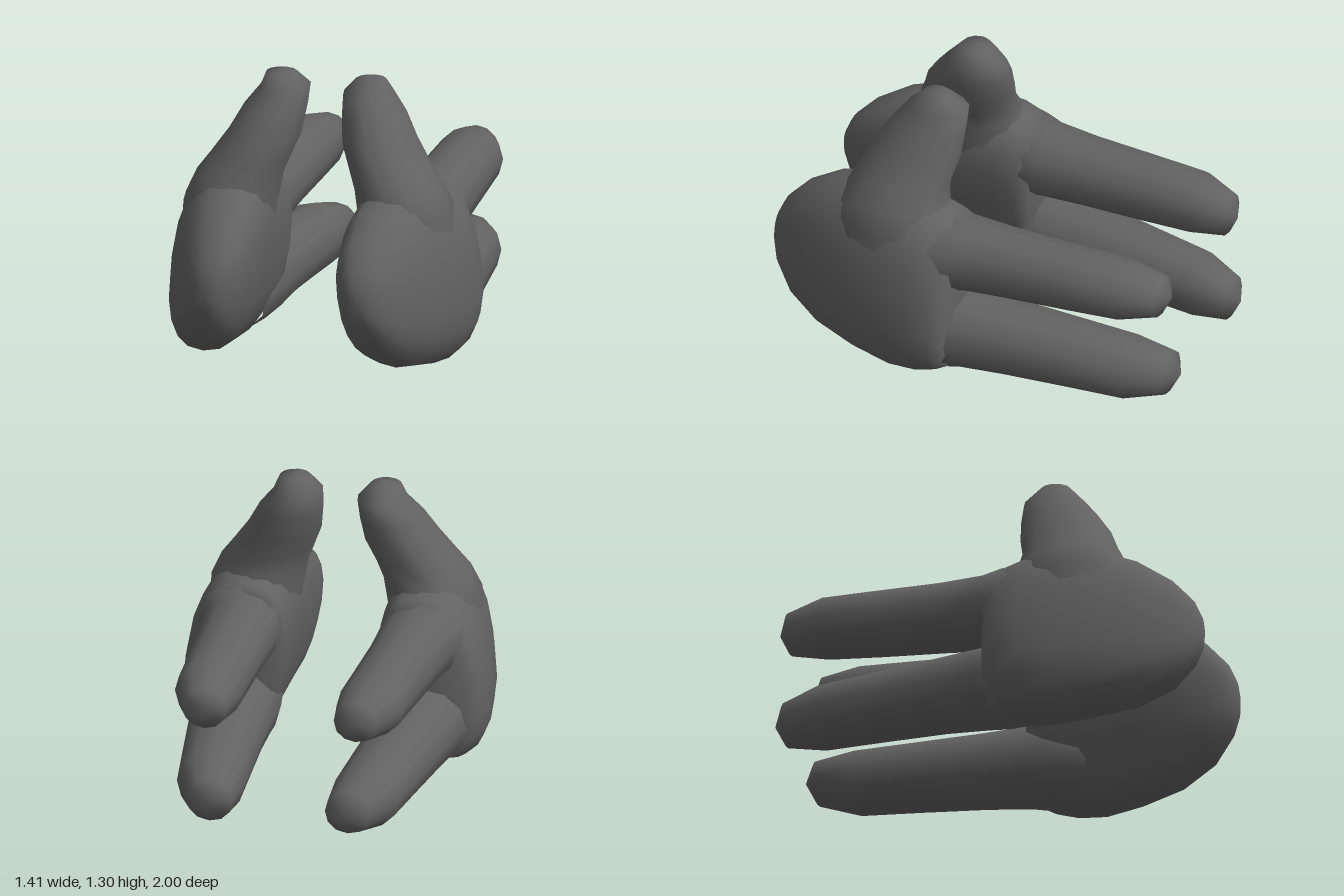
import * as THREE from 'three';
import { mergeVertices } from 'three/addons/utils/BufferGeometryUtils.js';

// Rounded section: exponent above 2 makes the outline squarer
const bend = (c, n) => Math.sign(c) * Math.pow(Math.abs(c), 2 / n);

// Smooth skin through sections [t, x, xRadius, v, vRadius].
// axis 'z': v is y, sections run backwards; axis 'y': v is z, sections run upwards.
// lean shifts x with v, side (+1 / -1) mirrors.
function loft(sections, { axis = 'z', sides = 12, n = 2, lean = 0, side = 1 }) {
  const positions = [], index = [];
  for (const [t, cx, rx, cv, rv] of sections) {
    for (let j = 0; j < sides; j++) {
      const a = (j / sides) * Math.PI * 2;
      const dv = bend(Math.sin(a), n) * rv;
      const x = side * (cx + bend(Math.cos(a), n) * rx + lean * dv);
      const v = cv + dv;
      if (axis === 'z') positions.push(x, v, t);
      else positions.push(x, t, v);
    }
  }
  for (let i = 0; i < sections.length - 1; i++) {
    for (let j = 0; j < sides; j++) {
      const k = (j + 1) % sides;
      const a = i * sides + j, b = i * sides + k, c = a + sides, d = b + sides;
      if (side > 0) index.push(a, c, b, b, c, d);
      else index.push(a, b, c, b, d, c);
    }
  }
  const g = new THREE.BufferGeometry();
  g.setAttribute('position', new THREE.Float32BufferAttribute(positions, 3));
  g.setIndex(index);
  const merged = mergeVertices(g, 1e-4);
  merged.computeVertexNormals();
  return merged;
}

const PALM = [
  [1.0, 0.36, 0, 0.43, 0],
  [0.985, 0.362, 0.055, 0.43, 0.085],
  [0.95, 0.368, 0.1, 0.43, 0.165],
  [0.86, 0.38, 0.155, 0.425, 0.27],
  [0.7, 0.405, 0.2, 0.435, 0.365],
  [0.5, 0.435, 0.225, 0.445, 0.42],
  [0.33, 0.45, 0.235, 0.43, 0.43],
  [0.2, 0.455, 0.238, 0.425, 0.415],
  [0.1, 0.45, 0.228, 0.42, 0.385],
  [0.03, 0.44, 0.195, 0.42, 0.355],
  [0.01, 0.43, 0, 0.42, 0],
];
const UPPER_FINGER = [
  [0.3, 0.43, 0.18, 0.6, 0.17],
  [0.1, 0.425, 0.2, 0.605, 0.19],
  [0.0, 0.405, 0.178, 0.612, 0.168],
  [-0.2, 0.397, 0.165, 0.613, 0.156],
  [-0.5, 0.385, 0.157, 0.62, 0.147],
  [-0.75, 0.375, 0.152, 0.627, 0.136],
  [-0.925, 0.35, 0.1, 0.625, 0.095],
  [-0.97, 0.34, 0, 0.625, 0],
];
const LOWER_FINGER = [
  [0.3, 0.46, 0.19, 0.22, 0.18],
  [0.1, 0.45, 0.215, 0.225, 0.195],
  [0.0, 0.432, 0.195, 0.222, 0.182],
  [-0.2, 0.415, 0.182, 0.217, 0.168],
  [-0.5, 0.385, 0.168, 0.205, 0.155],
  [-0.77, 0.358, 0.155, 0.193, 0.145],
  [-0.95, 0.32, 0.105, 0.19, 0.1],
  [-1.0, 0.31, 0, 0.19, 0],
];
const THUMB = [
  [0.45, 0.44, 0.2, 0.38, 0.3],
  [0.72, 0.41, 0.215, 0.39, 0.28],
  [0.83, 0.375, 0.2, 0.385, 0.245],
  [0.91, 0.33, 0.185, 0.37, 0.22],
  [1.02, 0.27, 0.168, 0.335, 0.21],
  [1.13, 0.232, 0.146, 0.297, 0.177],
  [1.22, 0.195, 0.113, 0.265, 0.142],
  [1.285, 0.21, 0.07, 0.275, 0.07],
  [1.3, 0.2, 0, 0.265, 0],
];

export function createModel() {
  const model = new THREE.Group();
  model.name = 'handPair';
  const charcoal = new THREE.MeshStandardMaterial({ color: 0x626262 });
  charcoal.name = 'charcoal';

  for (const side of [1, -1]) {
    const hand = new THREE.Group();
    hand.name = side > 0 ? 'leftHand' : 'rightHand';
    const add = (name, sections, options) => {
      const mesh = new THREE.Mesh(loft(sections, { side, ...options }), charcoal);
      mesh.name = name;
      hand.add(mesh);
    };
    add('palm', PALM, { sides: 20, n: 2.4, lean: -0.13 });
    add('upperFinger', UPPER_FINGER, { sides: 12, n: 2.1 });
    add('lowerFinger', LOWER_FINGER, { sides: 12, n: 2.1 });
    add('thumb', THUMB, { axis: 'y', sides: 12 });
    model.add(hand);
  }
  return model;
}
